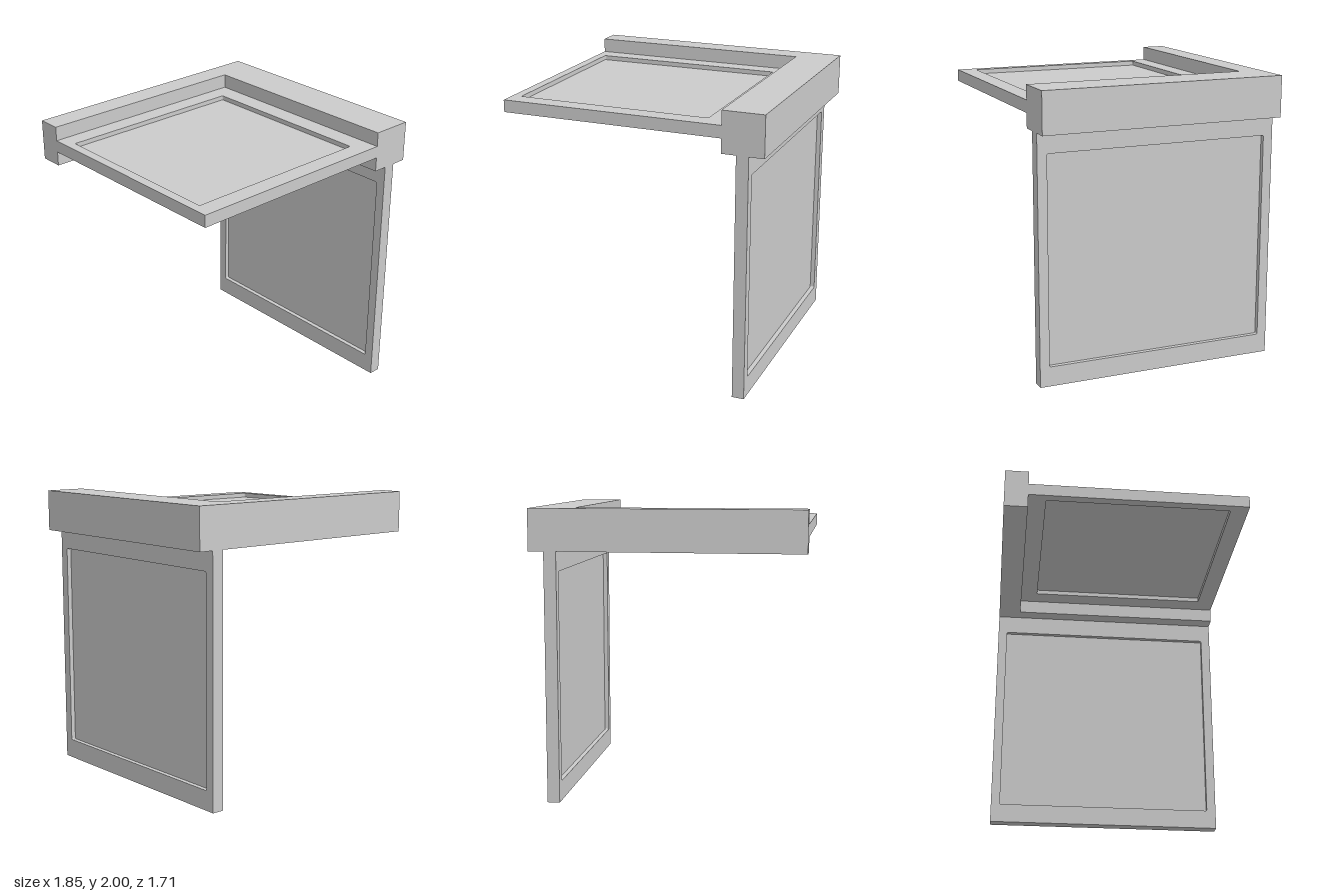
import * as THREE from 'three';

const material = new THREE.MeshStandardMaterial({ color: 0xcccccc });

const THICK = 0.085; // frame thickness
const PANE = 0.021; // thin pane left between the two recesses
const RADIUS = 0.01; // recess corner rounding

function addBox(group, name, [x0, x1], [y0, y1], [z0, z1]) {
  const mesh = new THREE.Mesh(new THREE.BoxGeometry(x1 - x0, y1 - y0, z1 - z0), material);
  mesh.position.set((x0 + x1) / 2, (y0 + y1) / 2, (z0 + z1) / 2);
  mesh.name = name;
  group.add(mesh);
}

// Rectangle outline with rounded corners, r = 0 for square ones
function trace(path, [x0, x1], [y0, y1], r) {
  path.moveTo(x0 + r, y0);
  path.lineTo(x1 - r, y0);
  if (r) path.absarc(x1 - r, y0 + r, r, -Math.PI / 2, 0);
  path.lineTo(x1, y1 - r);
  if (r) path.absarc(x1 - r, y1 - r, r, 0, Math.PI / 2);
  path.lineTo(x0 + r, y1);
  if (r) path.absarc(x0 + r, y1 - r, r, Math.PI / 2, Math.PI);
  path.lineTo(x0, y0 + r);
  if (r) path.absarc(x0 + r, y0 + r, r, Math.PI, Math.PI * 1.5);
  path.closePath();
  return path;
}

// Flat panel in the XY plane: a frame around a pane recessed on both faces
function makePanel(name, u, v, holeU, holeV) {
  const panel = new THREE.Group();
  panel.name = name;
  const extrude = (shape, depth) =>
    new THREE.ExtrudeGeometry(shape, { depth, bevelEnabled: false, curveSegments: 4 }).translate(0, 0, -depth / 2);

  const outline = trace(new THREE.Shape(), u, v, 0);
  outline.holes.push(trace(new THREE.Path(), holeU, holeV, RADIUS));
  const frame = new THREE.Mesh(extrude(outline, THICK), material);
  frame.name = name + 'Frame';

  const pane = new THREE.Mesh(extrude(trace(new THREE.Shape(), holeU, holeV, RADIUS), PANE), material);
  pane.name = name + 'Pane';
  panel.add(frame, pane);
  return panel;
}

export function createModel() {
  const model = new THREE.Group();
  model.name = 'cornerPanelUnit';

  // L-shaped beam: side arm and back arm
  addBox(model, 'sideBeam', [0.635, 0.925], [1.715, 2], [-0.855, 0.855]);
  addBox(model, 'backBeam', [-0.925, 0.635], [1.715, 2], [-0.855, -0.69]);

  // Horizontal panel held inside the L (local y becomes -z)
  const top = makePanel('topPanel', [-0.925, 0.635], [-0.855, 0.69], [-0.86, 0.5], [-0.73, 0.565]);
  top.rotation.x = -Math.PI / 2;
  top.position.y = 1.858;
  model.add(top);

  // Upright panel under the side beam (local x becomes -z)
  const upright = makePanel('uprightPanel', [-0.855, 0.855], [0, 1.715], [-0.788, 0.788], [0.137, 1.578]);
  upright.rotation.y = Math.PI / 2;
  upright.position.x = 0.778;
  model.add(upright);

  return model;
}
